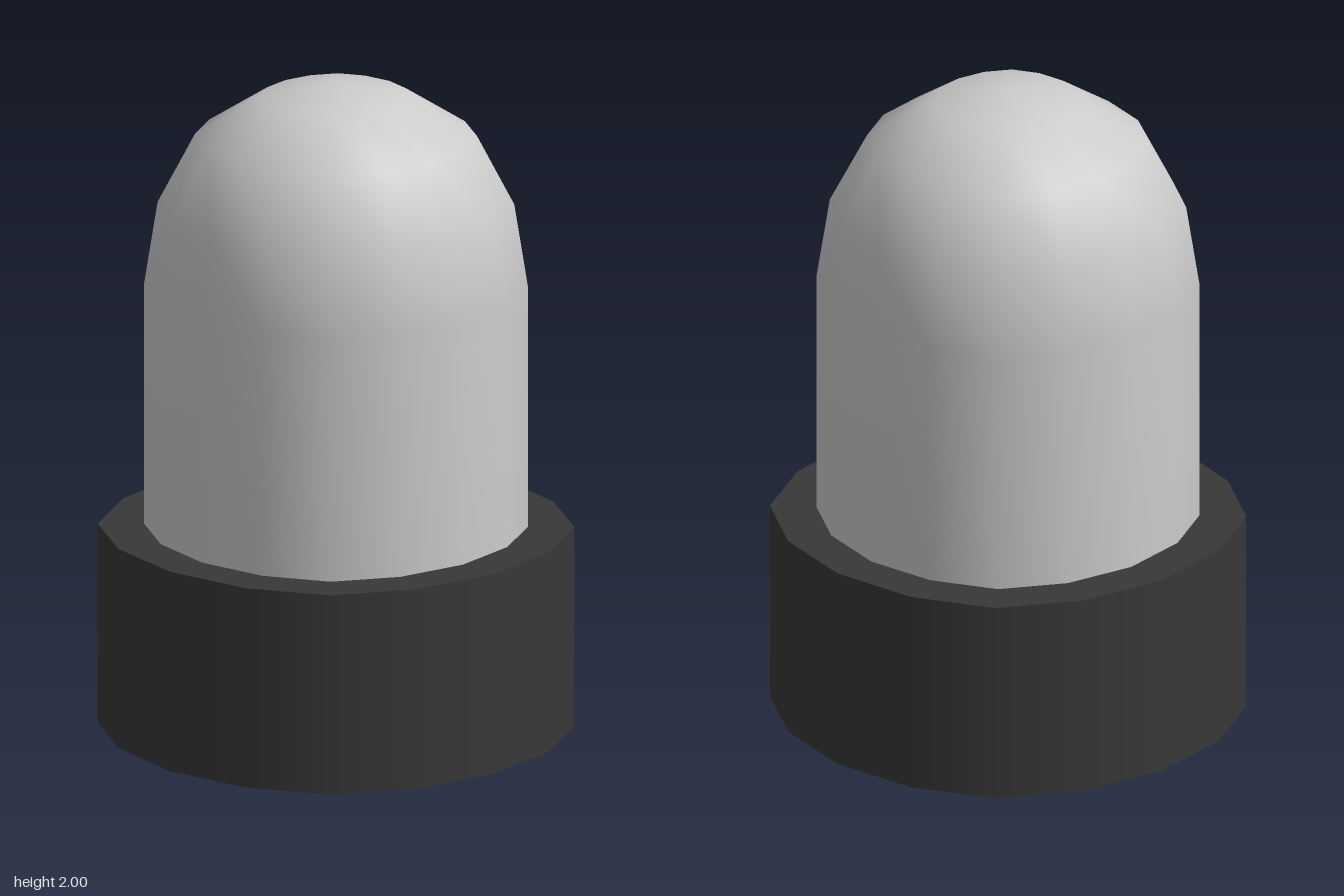
import * as THREE from 'three';

// Quarter arc shared by the plan and the dome profile: slightly fuller than a circle
const ARC = [[0, 1], [0.4, 0.93], [0.736, 0.736], [0.93, 0.4], [1, 0]];
const SIDES = 16;

// Moves the vertices of a round 16-sided geometry onto the fuller plan
function fillOut(geometry) {
  const p = geometry.attributes.position;
  for (let i = 0; i < p.count; i++) {
    const r = Math.hypot(p.getX(i), p.getZ(i));
    if (r < 1e-5) continue;
    const step = Math.round(Math.atan2(p.getX(i), p.getZ(i)) / (Math.PI / 8)) + SIDES;
    const [s, c] = ARC[step % 4];
    const turn = Math.floor(step / 4) * Math.PI / 2;
    p.setX(i, r * (s * Math.cos(turn) + c * Math.sin(turn)));
    p.setZ(i, r * (c * Math.cos(turn) - s * Math.sin(turn)));
  }
  return geometry;
}

export function createModel() {
  const group = new THREE.Group();

  // Dark solid base
  const base = new THREE.Mesh(
    fillOut(new THREE.CylinderGeometry(0.681, 0.681, 0.62, SIDES)),
    new THREE.MeshStandardMaterial({ color: 0x383838 })
  );
  base.name = 'base';
  base.position.y = 0.31;
  group.add(base);

  // Straight wall running smoothly into a rounded top
  const profile = [new THREE.Vector2(0.548, 0.62)];
  for (const [up, out] of ARC) profile.push(new THREE.Vector2(0.548 * out, 1.37 + 0.63 * up));
  const geometry = fillOut(new THREE.LatheGeometry(profile, SIDES));
  const { position, normal } = geometry.attributes;
  for (let i = 0; i < position.count; i++) {
    if (position.getY(i) > 1.999) normal.setXYZ(i, 0, 1, 0);
  }
  const dome = new THREE.Mesh(geometry, new THREE.MeshStandardMaterial({ color: 0xcccccc }));
  dome.name = 'dome';
  group.add(dome);

  return group;
}
